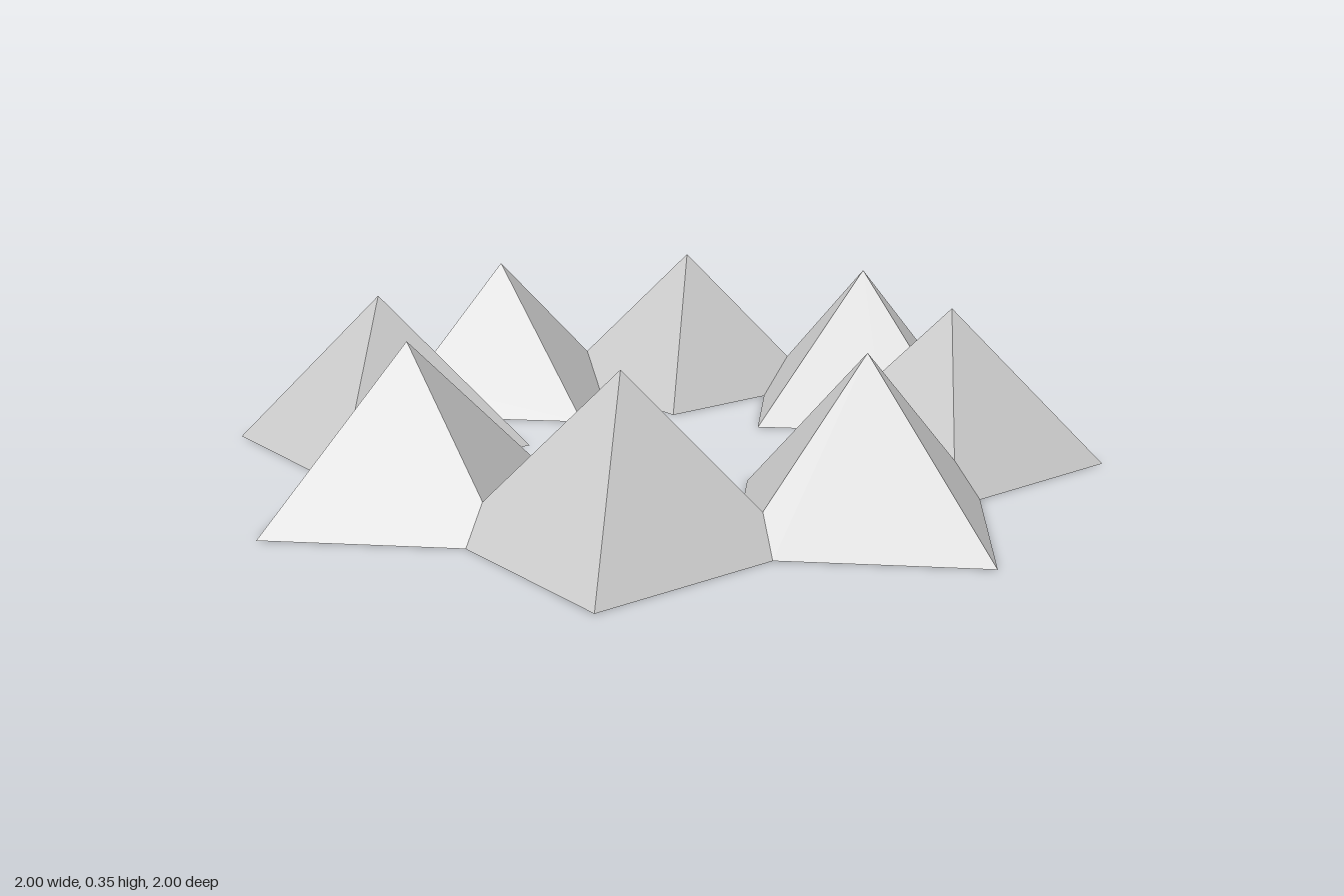
import * as THREE from 'three';

const COUNT = 8;
const CENTRE = 0.6525; // distance of each apex from the middle of the ring
const REACH = 0.3475; // half diagonal of the square base, and the height

// One pyramid pointing along +z, cut where it meets its neighbours.
function pyramidGeometry() {
  const k = Math.tan(Math.PI / COUNT); // seam plane: x = k * z
  const outerTip = [0, 0, CENTRE + REACH];
  const innerTip = [0, 0, CENTRE - REACH];
  const apex = [0, REACH, CENTRE];
  const zOut = outerTip[2] / (1 + k);
  const zIn = innerTip[2] / (1 - k);
  const seamOuter = [k * zOut, 0, zOut];
  const seamRidge = [k * CENTRE, REACH - k * CENTRE, CENTRE];
  const seamInner = [k * zIn, 0, zIn];

  const quads = [
    [outerTip, seamOuter, seamRidge, apex], // outer slope
    [seamRidge, seamInner, innerTip, apex], // inner slope
    [outerTip, innerTip, seamInner, seamOuter], // underside
  ];

  const positions = [];
  for (const quad of quads) {
    const mirrored = quad.map(([x, y, z]) => [-x, y, z]).reverse();
    for (const [a, b, c, d] of [quad, mirrored]) {
      positions.push(...a, ...b, ...c, ...a, ...c, ...d);
    }
  }
  const geometry = new THREE.BufferGeometry();
  geometry.setAttribute('position', new THREE.Float32BufferAttribute(positions, 3));
  geometry.computeVertexNormals();
  return geometry;
}

export function createModel() {
  const group = new THREE.Group();
  group.name = 'pyramidRing';
  const material = new THREE.MeshStandardMaterial({ color: 0xcccccc, flatShading: true });
  const geometry = pyramidGeometry();

  // Ring of joined pyramids
  for (let i = 0; i < COUNT; i++) {
    const pyramid = new THREE.Mesh(geometry, material);
    pyramid.name = `pyramid${i + 1}`;
    pyramid.rotation.y = (i / COUNT) * Math.PI * 2;
    group.add(pyramid);
  }
  return group;
}
